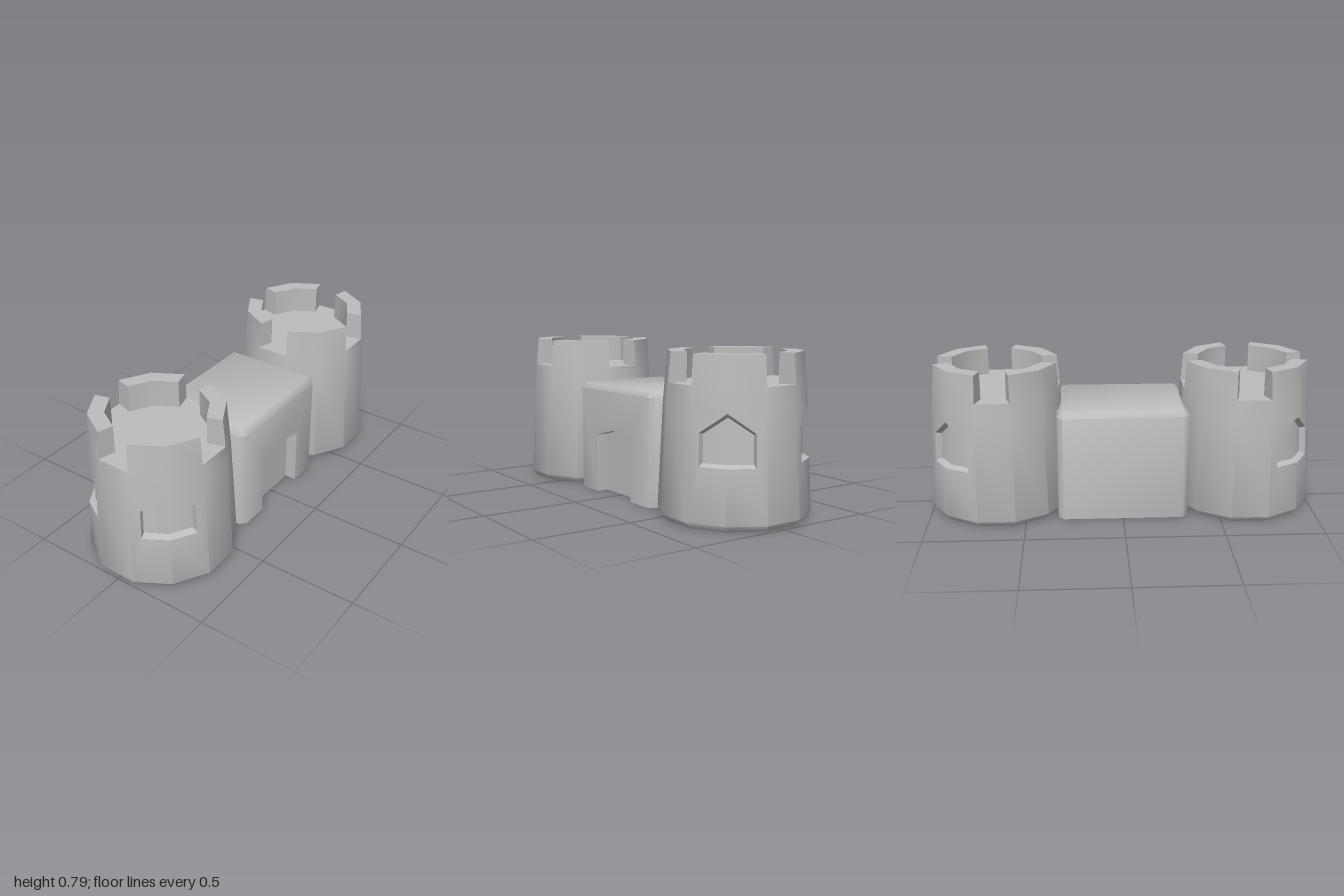
import * as THREE from 'three';
import { toCreasedNormals } from 'three/addons/utils/BufferGeometryUtils.js';

const V = (x, y, z) => new THREE.Vector3(x, y, z);
const UP = V(0, 1, 0), DOWN = V(0, -1, 0);

// Collects flat polygons; each one is turned to face the given direction.
class Faces {
  constructor() { this.pos = []; }
  poly(pts, dir, flat) {
    const tris = flat
      ? THREE.ShapeUtils.triangulateShape(flat.map(([a, b]) => new THREE.Vector2(a, b)), [])
      : pts.slice(2).map((_, i) => [0, i + 1, i + 2]);
    for (const t of tris) {
      const [a, b, c] = t.map(i => pts[i]);
      const n = b.clone().sub(a).cross(c.clone().sub(a));
      if (n.length() < 1e-9) continue;
      for (const p of n.dot(dir) < 0 ? [a, c, b] : [a, b, c]) this.pos.push(p.x, p.y, p.z);
    }
  }
  mesh(name, material) {
    const g = new THREE.BufferGeometry();
    g.setAttribute('position', new THREE.Float32BufferAttribute(this.pos, 3));
    const m = new THREE.Mesh(toCreasedNormals(g, 0.8), material);
    m.name = name;
    return m;
  }
}

// Tower wall profile: [height, distance from axis to the middle of a side]
const PROFILE = [[0, 0.33], [0.03, 0.355], [0.55, 0.33], [0.645, 0.3225], [0.787, 0.311]];
const FLOOR = 0.645, TOP = 0.787, INNER = 0.235, SIDES = 12;
const TAN = Math.tan(Math.PI / SIDES);

function apothem(y) {
  const i = Math.max(1, PROFILE.findIndex(p => p[0] >= y));
  const [y0, a0] = PROFILE[i - 1], [y1, a1] = PROFILE[i];
  return a0 + (a1 - a0) * (y - y0) / (y1 - y0);
}

// Point on side k; u runs from -1 to 1 across the side
function onSide(k, u, y, a = apothem(y)) {
  const t = k * 2 * Math.PI / SIDES, c = Math.cos(t), s = Math.sin(t), w = u * TAN;
  return V(a * (c - s * w), y, a * (s + c * w));
}

function buildTower(material) {
  const f = new Faces();
  // sides carrying half a window, with the sign of the corner it wraps
  const windows = { 1: 1, 2: -1, 10: 1, 11: -1 };
  const base = [], floor = [];

  for (let k = 0; k < SIDES; k++) {
    const out = onSide(k, 0, 0, 1), inward = out.clone().negate();
    const quad = (y0, y1) => f.poly(
      [onSide(k, -1, y0), onSide(k, 1, y0), onSide(k, 1, y1), onSide(k, -1, y1)], out);
    base.push(onSide(k, 1, 0));
    floor.push(onSide(k, 1, FLOOR));

    // wall
    quad(0, 0.03);
    quad(0.55, FLOOR);
    const s = windows[k];
    if (!s) quad(0.03, 0.55);
    else {
      // wall around the pointed window, its reveals and its recessed back
      const edge = [[s, 0.287], [-0.46 * s, 0.287], [-0.46 * s, 0.44], [s, 0.53]];
      const back = [[s, 0.3], [-0.42 * s, 0.3], [-0.42 * s, 0.432], [s, 0.51]];
      const flat = [[-s, 0.03], [s, 0.03], ...edge, [s, 0.55], [-s, 0.55]];
      f.poly(flat.map(([u, y]) => onSide(k, u, y)), out, flat);
      const o = edge.map(([u, y]) => onSide(k, u, y));
      const b = back.map(([u, y]) => onSide(k, u, y, apothem(y) - 0.03));
      const middle = onSide(k, s, 0.38);
      for (let i = 0; i < 3; i++) {
        f.poly([o[i], o[i + 1], b[i + 1], b[i]],
          middle.clone().sub(o[i].clone().lerp(o[i + 1], 0.5)));
      }
      f.poly(b, out);
    }

    // battlements, open on every third side
    if (k % 3 === 0) continue;
    quad(FLOOR, TOP);
    const inner = (u, y) => onSide(k, u, y, INNER);
    f.poly([inner(-1, FLOOR), inner(1, FLOOR), inner(1, TOP), inner(-1, TOP)], inward);
    f.poly([onSide(k, -1, TOP), onSide(k, 1, TOP), inner(1, TOP), inner(-1, TOP)], UP);
    const e = k % 3 === 1 ? -1 : 1;
    f.poly([onSide(k, e, FLOOR), inner(e, FLOOR), inner(e, TOP), onSide(k, e, TOP)],
      onSide(k, e, 0, 1).sub(out));
  }
  f.poly(base, DOWN);
  f.poly(floor, UP);
  return f.mesh('tower', material);
}

function buildGatehouse(material) {
  const f = new Faces();
  const X = 0.335, Z = 0.27, B = 0.03, H = 0.575, x = X - B, z = Z - B;
  const plan = [[-x, Z], [x, Z], [X, z], [X, -z], [x, -Z], [-x, -Z], [-X, -z], [-X, z]];
  const cap = [[-x, z], [x, z], [x, z], [x, -z], [x, -z], [-x, -z], [-x, -z], [-x, z]];
  const low = plan.map(([a, b]) => V(a, 0, b));
  const mid = plan.map(([a, b]) => V(a, H - B, b));
  const top = cap.map(([a, b]) => V(a, H, b));

  // doorway outline, recessed into the front
  const door = [[-0.16, 0], [-0.16, 0.305], [0, 0.345], [0.16, 0.305], [0.16, 0]];
  const depth = 0.06;
  const front = [[-x, 0], ...door, [x, 0], [x, H - B], [-x, H - B]];
  f.poly(front.map(([a, b]) => V(a, b, Z)), V(0, 0, 1), front);
  f.poly(door.map(([a, b]) => V(a, b, Z - depth)), V(0, 0, 1));
  for (let i = 0; i < 4; i++) {
    const [a, b] = door[i], [c, d] = door[i + 1];
    f.poly([V(a, b, Z), V(c, d, Z), V(c, d, Z - depth), V(a, b, Z - depth)],
      V(-(a + c) / 2, 0.15 - (b + d) / 2, 0));
  }

  // other walls and the bevel around the roof
  for (let i = 0; i < 8; i++) {
    const j = (i + 1) % 8;
    const out = low[i].clone().add(low[j]);
    if (i > 0) f.poly([low[i], low[j], mid[j], mid[i]], out);
    f.poly([mid[i], mid[j], top[j], top[i]], out.clone().add(UP));
  }
  f.poly([top[0], top[1], top[3], top[5]], UP);

  // underside, notched by the doorway
  const under = [[-x, Z], [-0.16, Z], [-0.16, Z - depth], [0.16, Z - depth], [0.16, Z], ...plan.slice(1)];
  f.poly(under.map(([a, b]) => V(a, 0, b)), DOWN, under);
  return f.mesh('gatehouse', material);
}

export function createModel() {
  const stone = new THREE.MeshStandardMaterial({ color: 0xbcbcbc });
  stone.name = 'stone grey';
  const model = new THREE.Group();
  model.name = 'castle';

  const leftTower = buildTower(stone);
  leftTower.name = 'leftTower';
  leftTower.position.x = 0.645;
  const rightTower = new THREE.Mesh(leftTower.geometry, stone);
  rightTower.name = 'rightTower';
  rightTower.position.x = -0.645;
  rightTower.rotation.y = Math.PI;

  model.add(leftTower, rightTower, buildGatehouse(stone));
  return model;
}
